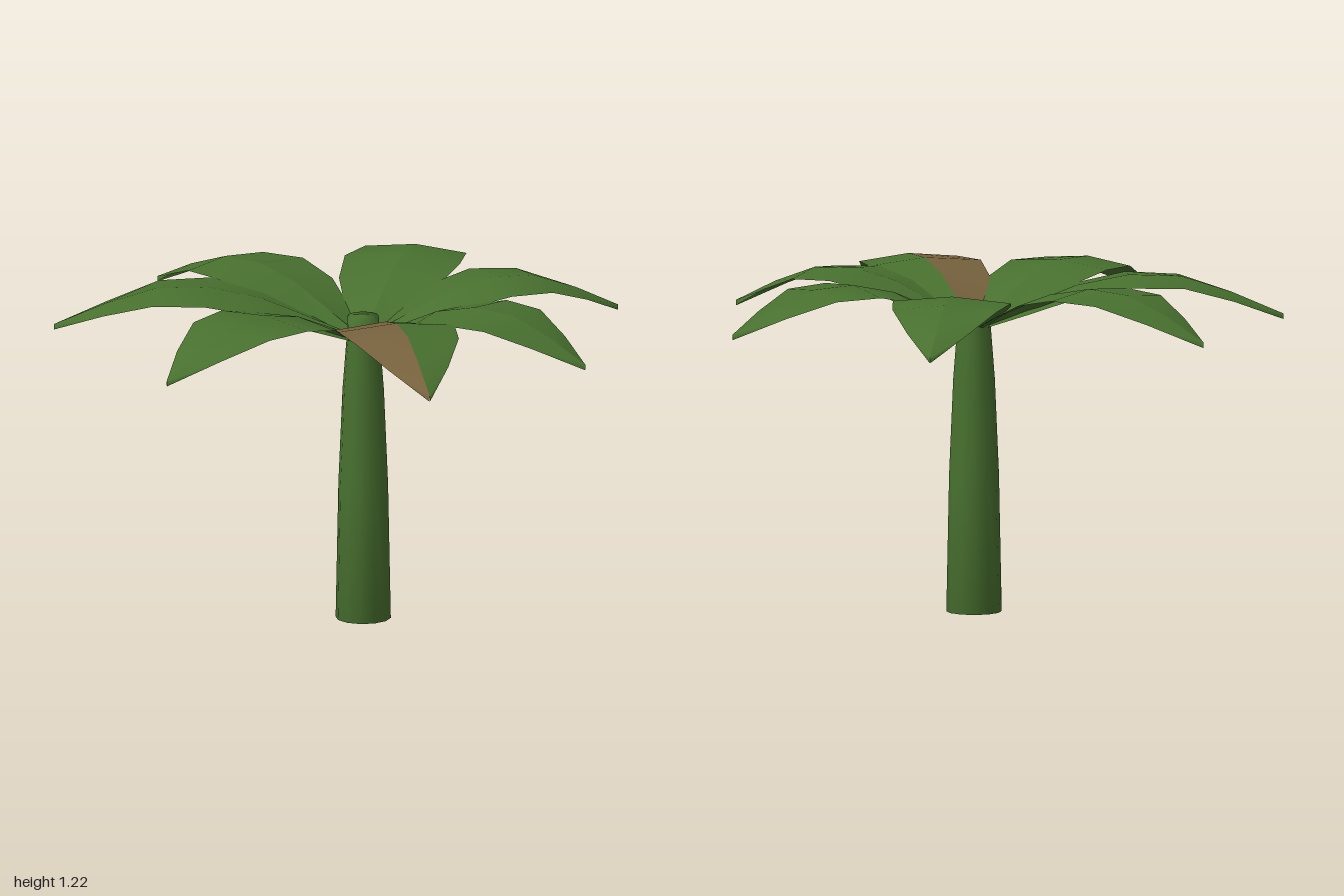
import * as THREE from 'three';

const CENTRE = [0.04, -0.015];
// Leaf tips in plan (x, z)
const TIPS = [[0.99, -0.06], [0.59, -0.83], [-0.31, -1.0], [-1.0, -0.2],
  [-0.91, 0.575], [-0.11, 1.0], [0.79, 0.63]];
// Leaf stations from base to tip: fraction of length, half width, midrib height
const STATIONS = [[0, 0.012, 1.04], [0.17, 0.115, 1.115], [0.33, 0.188, 1.185],
  [0.5, 0.216, 1.222], [0.67, 0.19, 1.215], [0.835, 0.11, 1.155], [1, 0.001, 1.075]];
const DROP = 0.02; // the leaf edges hang a little below the midrib

// One half of a leaf along +x; side is -1 or 1 in z
function halfLeaf(length, side) {
  const positions = [], index = [];
  STATIONS.forEach(([t, w, y], i) => {
    positions.push(t * length, y, 0, t * length, y - DROP, side * w);
    if (i === 0) return;
    const a = 2 * i - 2, b = a + 1, c = a + 2, d = a + 3;
    if (side > 0) index.push(a, b, c, b, d, c);
    else index.push(a, c, b, b, c, d);
  });
  const geometry = new THREE.BufferGeometry();
  geometry.setAttribute('position', new THREE.Float32BufferAttribute(positions, 3));
  geometry.setIndex(index);
  geometry.computeVertexNormals();
  return geometry;
}

export function createModel() {
  const green = new THREE.MeshStandardMaterial({ color: 0x48702f, side: THREE.DoubleSide });
  green.name = 'leafGreen';
  const brown = new THREE.MeshStandardMaterial({ color: 0x77623e, side: THREE.DoubleSide });
  brown.name = 'dryBrown';

  const model = new THREE.Group();
  model.name = 'palmTree';

  // Tapered trunk, closed and softly shaded at both ends
  const profile = [[0, 0], [0.1, 0], [0.09, 0.5], [0.075, 0.85], [0.061, 1.03], [0.056, 1.125], [0, 1.13]]
    .map(([r, y]) => new THREE.Vector2(r, y));
  const trunkGeometry = new THREE.LatheGeometry(profile, 12);
  const trunk = new THREE.Mesh(trunkGeometry, green);
  trunk.name = 'trunk';
  trunk.position.set(CENTRE[0], 0, CENTRE[1]);
  model.add(trunk);

  // Crown of leaves, the last one half dried
  TIPS.forEach(([x, z], i) => {
    const dx = x - CENTRE[0], dz = z - CENTRE[1];
    const leaf = new THREE.Group();
    leaf.name = `leaf${i + 1}`;
    leaf.position.set(CENTRE[0], 0, CENTRE[1]);
    leaf.rotation.y = -Math.atan2(dz, dx);
    for (const side of [-1, 1]) {
      const dry = i === TIPS.length - 1 && side === 1;
      const half = new THREE.Mesh(halfLeaf(Math.hypot(dx, dz), side), dry ? brown : green);
      half.name = dry ? 'dryLeafHalf' : 'leafHalf';
      leaf.add(half);
    }
    model.add(leaf);
  });
  return model;
}
